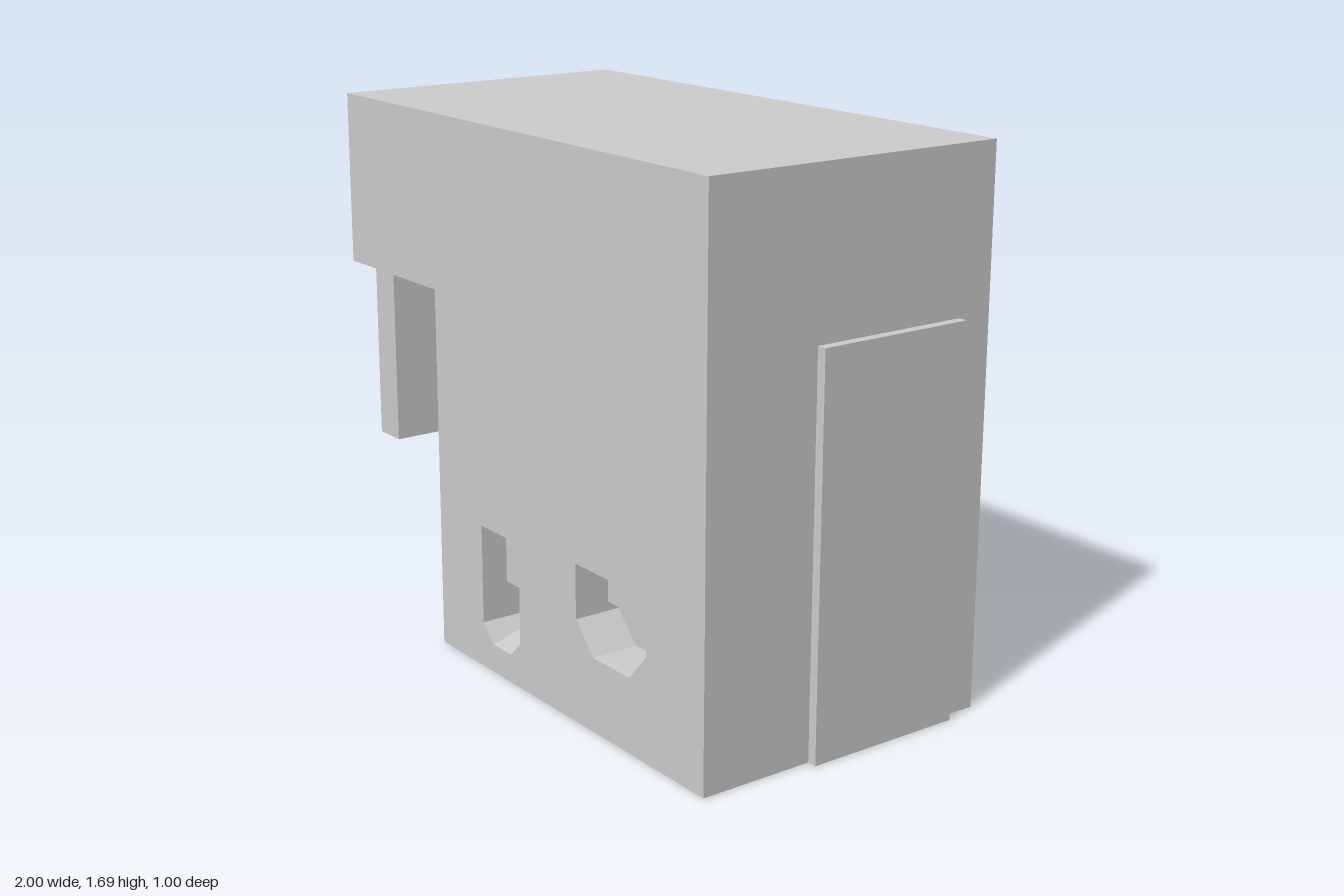
import * as THREE from 'three';
import { mergeGeometries } from 'three/addons/utils/BufferGeometryUtils.js';

const L = -0.885, R = 0.97, H = 1.69, F = 0.5, B = -0.5;
const NOTCH_X = -0.375, NOTCH_Y = 1.15, NOTCH_Z = -0.02;

const rect = (x0, y0, x1, y1) => [[x0, y0], [x1, y0], [x1, y1], [x0, y1]];

// flat polygon from 3D corners, counter-clockwise seen from its front
function poly(...pts) {
  const pos = [];
  for (let i = 1; i < pts.length - 1; i++) pos.push(...pts[0], ...pts[i], ...pts[i + 1]);
  const g = new THREE.BufferGeometry();
  g.setAttribute('position', new THREE.Float32BufferAttribute(pos, 3));
  g.computeVertexNormals();
  return g;
}

// strip of walls along a polyline between two depths
function walls(pts, z0, z1, closed = true) {
  const n = closed ? pts.length : pts.length - 1, out = [];
  for (let i = 0; i < n; i++) {
    const a = pts[i], b = pts[(i + 1) % pts.length];
    out.push(poly([...a, z0], [...b, z0], [...b, z1], [...a, z1]));
  }
  return out;
}

// upright face with holes; back = true makes it face -z
function face(pts, z, holes = [], back = false) {
  const s = back ? -1 : 1;
  const vec = (list) => list.map(([x, y]) => new THREE.Vector2(s * x, y));
  const shape = new THREE.Shape(vec(pts));
  shape.holes = holes.map((h) => new THREE.Path(vec(h)));
  const g = new THREE.ShapeGeometry(shape).toNonIndexed();
  g.deleteAttribute('uv');
  if (back) g.rotateY(Math.PI);
  return g.translate(0, 0, z);
}

const inward = (pts) => [...pts].reverse();

export function createModel() {
  const group = new THREE.Group();
  const material = new THREE.MeshStandardMaterial({ color: 0xcccccc, flatShading: true });
  const add = (name, geometry) => {
    const mesh = new THREE.Mesh(geometry, material);
    mesh.name = name;
    group.add(mesh);
  };
  const box = (name, x0, x1, y0, y1, z0, z1) => add(name,
    new THREE.BoxGeometry(x1 - x0, y1 - y0, z1 - z0)
      .translate((x0 + x1) / 2, (y0 + y1) / 2, (z0 + z1) / 2));

  const outline = [[L, NOTCH_Y], [NOTCH_X, NOTCH_Y], [NOTCH_X, 0], [R, 0], [R, H], [L, H]];
  const block = rect(L, 0, R, H);
  const window = rect(-0.31, 0.575, 0.375, 1.12);

  // tall slot, with a chamfered lower edge
  const sx0 = -0.134, sx1 = 0.072, sTop = 0.46, sLip = 0.26, sLow = 0.145, sBot = 0.09;
  const slot = [[sx0, sLow], [-0.077, sBot], [0.02, sBot], [sx1, sLow], [sx1, sTop], [sx0, sTop]];
  // wide bin, with a chamfered bottom
  const bin = [[0.37, 0.32], [0.455, 0.23], [0.63, 0.23], [0.71, 0.32], [0.71, 0.49], [0.37, 0.49]];

  // body shell: full block behind, corner cut away in front
  add('body', mergeGeometries([
    face(outline, F, [slot, bin]),
    ...walls(outline, NOTCH_Z, F),
    face(rect(L, 0, NOTCH_X, NOTCH_Y), NOTCH_Z),
    ...walls(block, B, NOTCH_Z),
    face(block, B, [window], true),
  ]));

  // shallow recess in the back
  add('backRecess', mergeGeometries([
    ...walls(inward(window), B, B + 0.03),
    face(window, B + 0.03, [], true),
  ]));

  // slot: shallow above the lip, deep below it, floor rising to the rear
  const flapZ = 0.413, deepZ = 0.2;
  const rearL = [sx0, sLow, deepZ], rearR = [sx1, sLow, deepZ];
  const [a, b, c, d] = slot.map((p) => [...p, F]);
  add('slotNiche', mergeGeometries([
    ...walls([[sx0, sLip], [sx0, sTop], [sx1, sTop], [sx1, sLip]], flapZ, F, false),
    face(rect(sx0, sLip, sx1, sTop), flapZ),
    poly([sx0, sLip, deepZ], [sx1, sLip, deepZ], [sx1, sLip, flapZ], [sx0, sLip, flapZ]),
    ...walls([[sx0, sLow], [sx0, sLip]], deepZ, F, false),
    ...walls([[sx1, sLip], [sx1, sLow]], deepZ, F, false),
    face(rect(sx0, sLow, sx1, sLip), deepZ),
    poly(a, b, rearL), poly(b, c, rearR, rearL), poly(c, d, rearR),
  ]));

  // bin with a spout block hanging from its ceiling
  const binZ = 0.35;
  add('binNiche', mergeGeometries([...walls(inward(bin), binZ, F), face(bin, binZ)]));
  box('spoutBlock', 0.43, 0.655, 0.378, 0.49, binZ, 0.43);

  // side parts
  box('sidePanel', -1, L, 0.52, 1.4, -0.33, 0.355);
  box('sideDoor', R, 1, 0, 1.2, -0.385, 0.13);
  return group;
}
